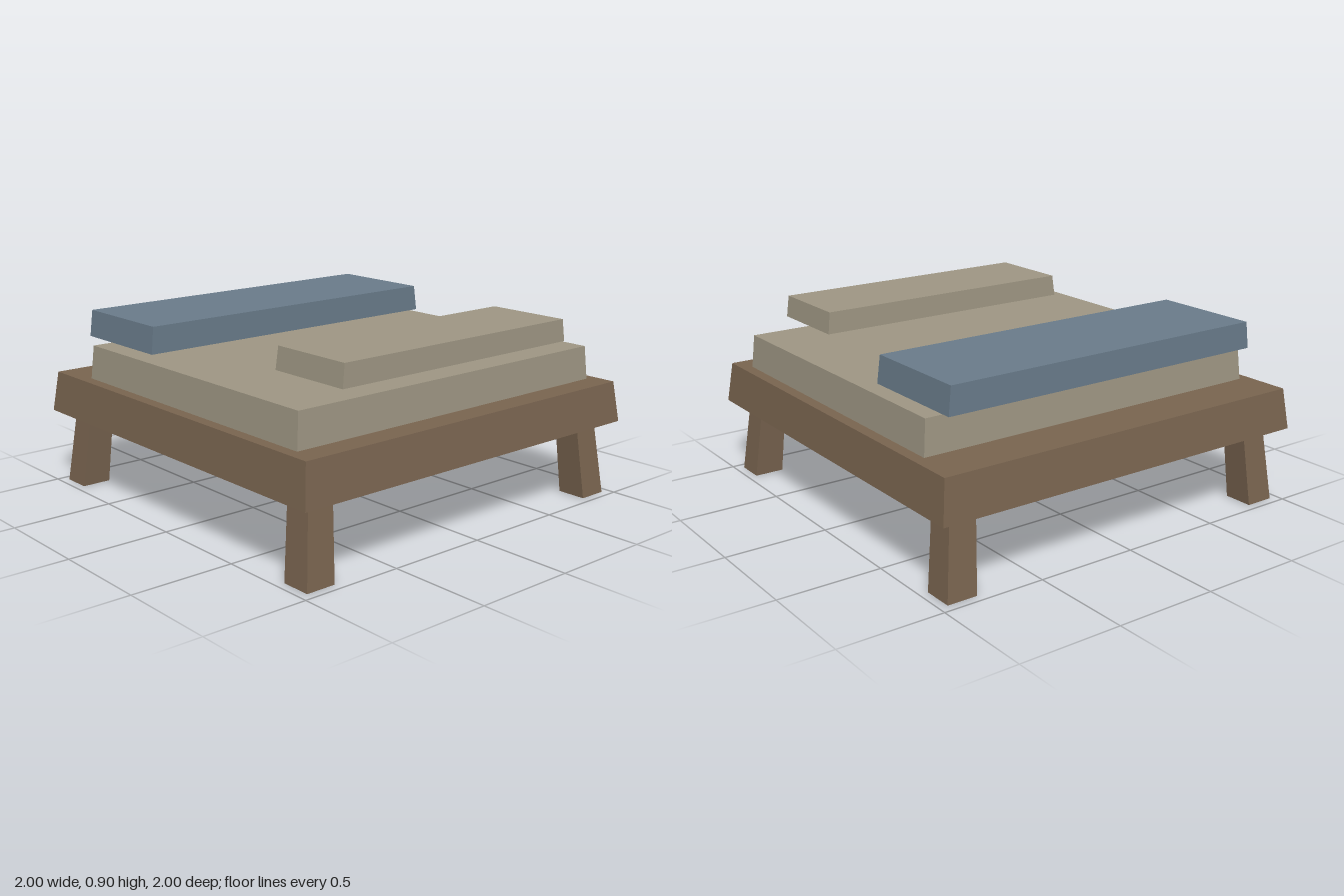
import * as THREE from 'three';

const material = (color) => new THREE.MeshStandardMaterial({ color, flatShading: true });

// Box whose bottom and top rectangles [x0, x1, z0, z1] differ
function taperedBox(name, mat, y0, y1, bottom, top) {
  const geometry = new THREE.BoxGeometry(1, 1, 1);
  const p = geometry.attributes.position;
  for (let i = 0; i < p.count; i++) {
    const up = p.getY(i) > 0;
    const r = up ? top : bottom;
    p.setXYZ(i, p.getX(i) < 0 ? r[0] : r[1], up ? y1 : y0, p.getZ(i) < 0 ? r[2] : r[3]);
  }
  geometry.computeVertexNormals();
  const mesh = new THREE.Mesh(geometry, mat);
  mesh.name = name;
  return mesh;
}

export function createModel() {
  const bed = new THREE.Group();
  bed.name = 'bed';
  const wood = material(0x7a6550);
  const linen = material(0x9f9784);
  const blue = material(0x6a7c8b);

  // Wooden platform
  bed.add(taperedBox('frame', wood, 0.37, 0.57, [-1, 1, -1, 1], [-0.975, 0.975, -0.975, 0.975]));

  // Four legs splayed towards the corners
  const span = (side, inner, outer) => (side > 0 ? [inner, outer] : [-outer, -inner]);
  for (const sx of [-1, 1]) {
    for (const sz of [-1, 1]) {
      const name = (sz > 0 ? 'front' : 'back') + (sx > 0 ? 'Left' : 'Right') + 'Leg';
      bed.add(taperedBox(name, wood, 0, 0.37,
        [...span(sx, 0.81, 0.957), ...span(sz, 0.81, 0.957)],
        [...span(sx, 0.783, 0.915), ...span(sz, 0.783, 0.915)]));
    }
  }

  // Mattress
  bed.add(taperedBox('mattress', linen, 0.57, 0.735,
    [-0.92, 0.92, -0.743, 0.855], [-0.905, 0.905, -0.733, 0.845]));

  // Wide pillow at the head, hovering just above the mattress
  bed.add(taperedBox('pillow', blue, 0.76, 0.89,
    [-0.86, 0.86, -0.838, -0.282], [-0.845, 0.845, -0.834, -0.286]));

  // Folded blanket at the foot
  bed.add(taperedBox('blanket', linen, 0.795, 0.902,
    [-0.7, 0.7, 0.442, 0.88], [-0.687, 0.687, 0.446, 0.876]));

  return bed;
}
